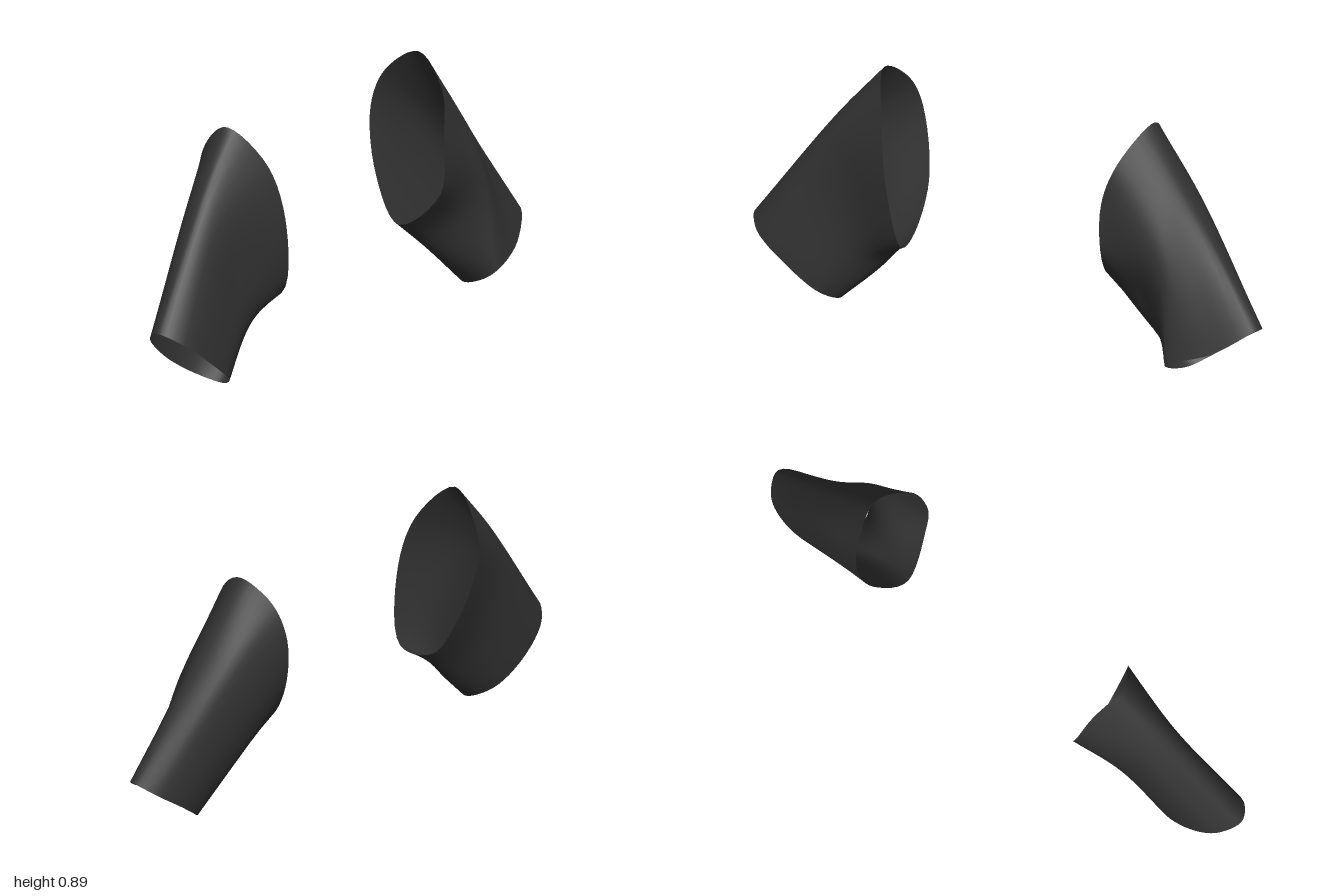
import * as THREE from 'three';

const AROUND = 48, ALONG = 20;

// Each ring runs top, top-back, back, bottom-back, bottom, bottom-front, front, top-front.
// Rings go from the shoulder opening to the cuff; x is measured outward from the middle.
const LEFT = [
  [[.53, .892, -.02], [.50, .82, -.135], [.475, .69, -.18], [.44, .46, -.13],
    [.395, .32, 0], [.435, .44, .145], [.44, .64, .155], [.48, .78, .12]],
  [[.70, .663, 0], [.69, .61, -.10], [.63, .47, -.13], [.56, .30, -.08],
    [.515, .222, .03], [.57, .32, .10], [.66, .44, .152], [.68, .60, .085]],
  [[.995, .27, .05], [.96, .235, -.03], [.87, .17, -.058], [.76, .09, -.03],
    [.71, .062, .03], [.695, .09, .13], [.71, .125, .178], [.87, .185, .14]],
];
const RIGHT = [
  [[.53, .85, -.02], [.50, .78, -.13], [.475, .66, -.18], [.42, .42, -.13],
    [.41, .265, -.02], [.39, .265, .10], [.42, .50, .145], [.465, .72, .10]],
  [[.70, .65, 0], [.69, .58, -.08], [.63, .44, -.105], [.56, .23, -.06],
    [.515, .135, .02], [.55, .20, .09], [.62, .38, .098], [.69, .56, .07]],
  [[1, .24, .04], [.95, .20, -.03], [.83, .11, -.055], [.71, .035, -.03],
    [.655, 0, .05], [.70, .03, .115], [.82, .11, .135], [.95, .20, .115]],
];

// Lofts an open cloth tube through the rings
function sleeve(name, rings, side, material) {
  const loops = rings.map(ring => new THREE.CatmullRomCurve3(
    ring.map(([x, y, z]) => new THREE.Vector3(side * x, y, z)), true));
  const positions = [], index = [];
  for (let j = 0; j < AROUND; j++) {
    const strand = new THREE.CatmullRomCurve3(loops.map(l => l.getPoint(j / AROUND)));
    for (let i = 0; i <= ALONG; i++) positions.push(...strand.getPoint(i / ALONG).toArray());
  }
  const at = (i, j) => (j % AROUND) * (ALONG + 1) + i;
  for (let j = 0; j < AROUND; j++) {
    for (let i = 0; i < ALONG; i++) {
      const a = at(i, j), b = at(i, j + 1), c = at(i + 1, j), d = at(i + 1, j + 1);
      if (side > 0) index.push(a, c, b, b, c, d);
      else index.push(a, b, c, b, d, c);
    }
  }
  const geometry = new THREE.BufferGeometry();
  geometry.setAttribute('position', new THREE.Float32BufferAttribute(positions, 3));
  geometry.setIndex(index);
  geometry.computeVertexNormals();
  const mesh = new THREE.Mesh(geometry, material);
  mesh.name = name;
  return mesh;
}

export function createModel() {
  const cloth = new THREE.MeshStandardMaterial({ color: 0x333333, side: THREE.DoubleSide });
  cloth.name = 'black cloth';
  const group = new THREE.Group();
  group.name = 'sleeves';
  group.add(sleeve('leftSleeve', LEFT, 1, cloth), sleeve('rightSleeve', RIGHT, -1, cloth));
  return group;
}
